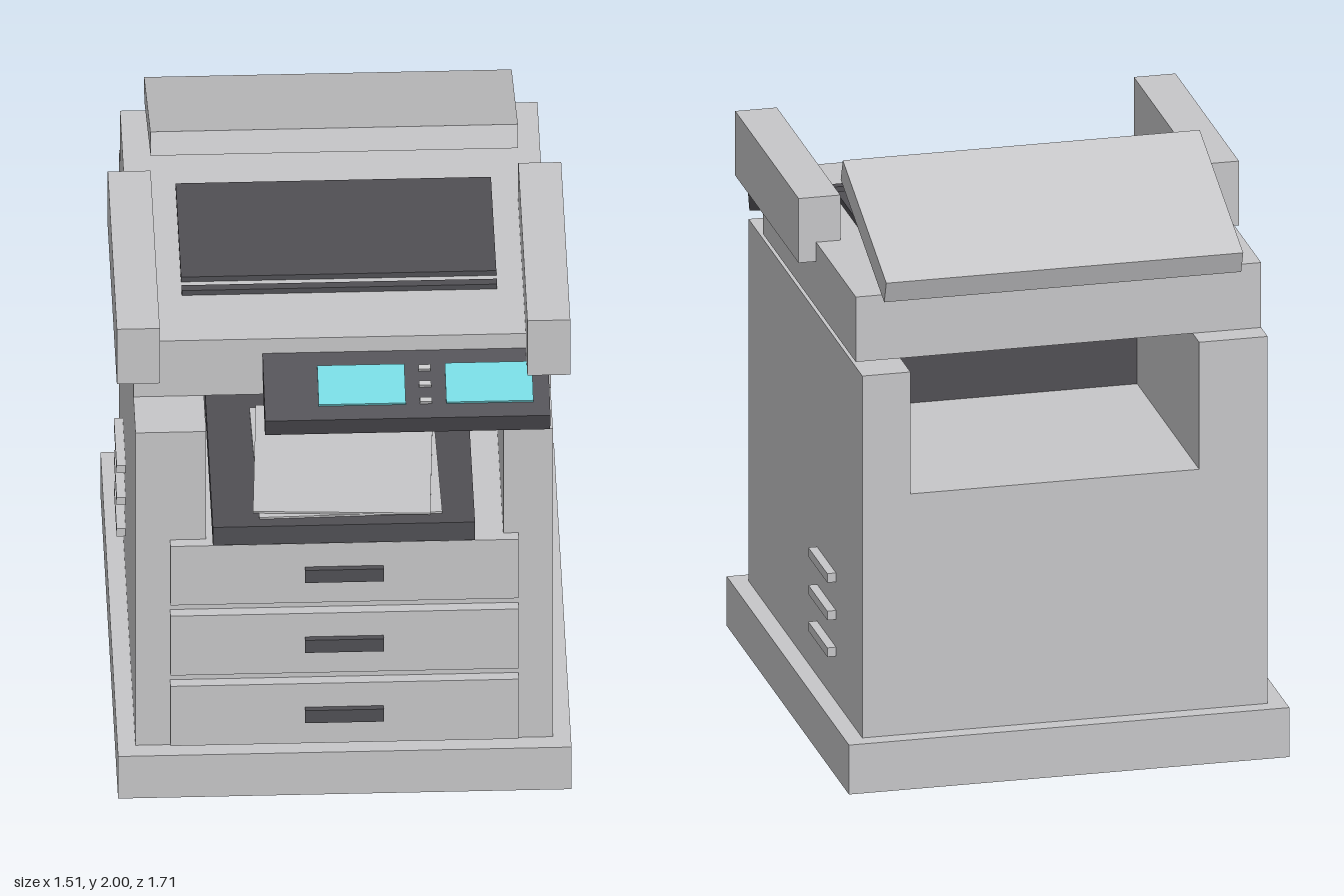
import * as THREE from 'three';

const material = (name, color) => {
  const m = new THREE.MeshStandardMaterial({ color });
  m.name = name;
  return m;
};

export function createModel() {
  const grey = material('light grey casing', 0xc6c6c8);
  const dark = material('dark plastic', 0x504f54);
  const cyan = material('cyan screen', 0x74d6de);

  const model = new THREE.Group();
  model.name = 'copier';

  // Box given by its lower and upper limits on each axis
  const box = (name, mat, [x0, x1], [y0, y1], [z0, z1], parent = model) => {
    const mesh = new THREE.Mesh(new THREE.BoxGeometry(x1 - x0, y1 - y0, z1 - z0), mat);
    mesh.position.set((x0 + x1) / 2, (y0 + y1) / 2, (z0 + z1) / 2);
    mesh.name = name;
    parent.add(mesh);
    return mesh;
  };

  // Plinth, cabinet and the two columns beside the open output bay
  box('base', grey, [-0.755, 0.755], [0, 0.175], [-0.852, 0.835]);
  box('cabinet', grey, [-0.695, 0.695], [0.175, 1.025], [-0.795, 0.775]);
  box('wideColumn', grey, [-0.695, -0.46], [1.025, 1.475], [-0.795, 0.775]);
  box('narrowColumn', grey, [0.53, 0.695], [1.025, 1.457], [-0.795, 0.775]);
  box('bayPartition', dark, [-0.5, 0.588], [1.025, 1.475], [0.06, 0.09]);

  // Paper drawers with handles
  for (const [y0, y1] of [[0.197, 0.445], [0.49, 0.737], [0.782, 1.027]]) {
    box('drawer', grey, [-0.58, 0.58], [y0, y1], [0.77, 0.812]);
    const y = (y0 + y1) / 2;
    box('drawerHandle', dark, [-0.132, 0.13], [y - 0.026, y + 0.026], [0.81, 0.832]);
  }

  // Raised vent bars on both sides
  for (const side of [-1, 1]) {
    for (const y of [0.352, 0.482, 0.615]) {
      const vent = box('ventBar', grey, [-0.02, 0.02], [y - 0.016, y + 0.016], [-0.432, -0.17]);
      vent.position.x = side * 0.705;
    }
  }

  // Output tray and loose sheets
  box('outputTray', dark, [-0.44, 0.433], [1.06, 1.135], [0.09, 0.855]);
  const lowerSheet = box('lowerSheet', grey, [-0.29, 0.32], [1.136, 1.143], [0.2, 0.81]);
  lowerSheet.rotation.y = 0.02;
  const upperSheet = box('upperSheet', grey, [-0.29, 0.3], [1.146, 1.153], [0.22, 0.81]);
  upperSheet.rotation.y = -0.05;

  // Scanner housing, glass and side arms
  box('scannerHousing', grey, [-0.695, 0.695], [1.475, 1.705], [-0.705, 0.575]);
  box('scanGlass', dark, [-0.525, 0.525], [1.7, 1.725], [-0.27, 0.25]);
  box('scanStrip', dark, [-0.525, 0.525], [1.7, 1.725], [0.295, 0.325]);
  for (const side of [-1, 1]) {
    const arm = box('sideArm', grey, [-0.0715, 0.0715], [1.637, 1.865], [-0.157, 0.718]);
    arm.position.x = side * 0.6835;
  }

  // Raised document lid, hinged at the back
  const lid = box('documentLid', grey, [-0.612, 0.612], [1.8085, 1.8915], [-0.7975, -0.1575]);
  lid.rotation.x = -0.355;

  // Tilted control panel with two screens and three buttons
  const panel = new THREE.Group();
  panel.name = 'controlPanel';
  panel.position.set(0.21, 1.561, 0.69);
  panel.rotation.x = 0.345;
  model.add(panel);
  box('panelBody', dark, [-0.475, 0.475], [-0.042, 0.042], [-0.135, 0.135], panel);
  for (const x of [-0.15, 0.275]) {
    box('screen', cyan, [x - 0.145, x + 0.145], [0.042, 0.0515], [-0.076, 0.08], panel);
  }
  for (const z of [-0.06, 0.004, 0.07]) {
    box('button', grey, [0.042, 0.082], [0.04, 0.056], [z - 0.009, z + 0.009], panel);
  }

  return model;
}
